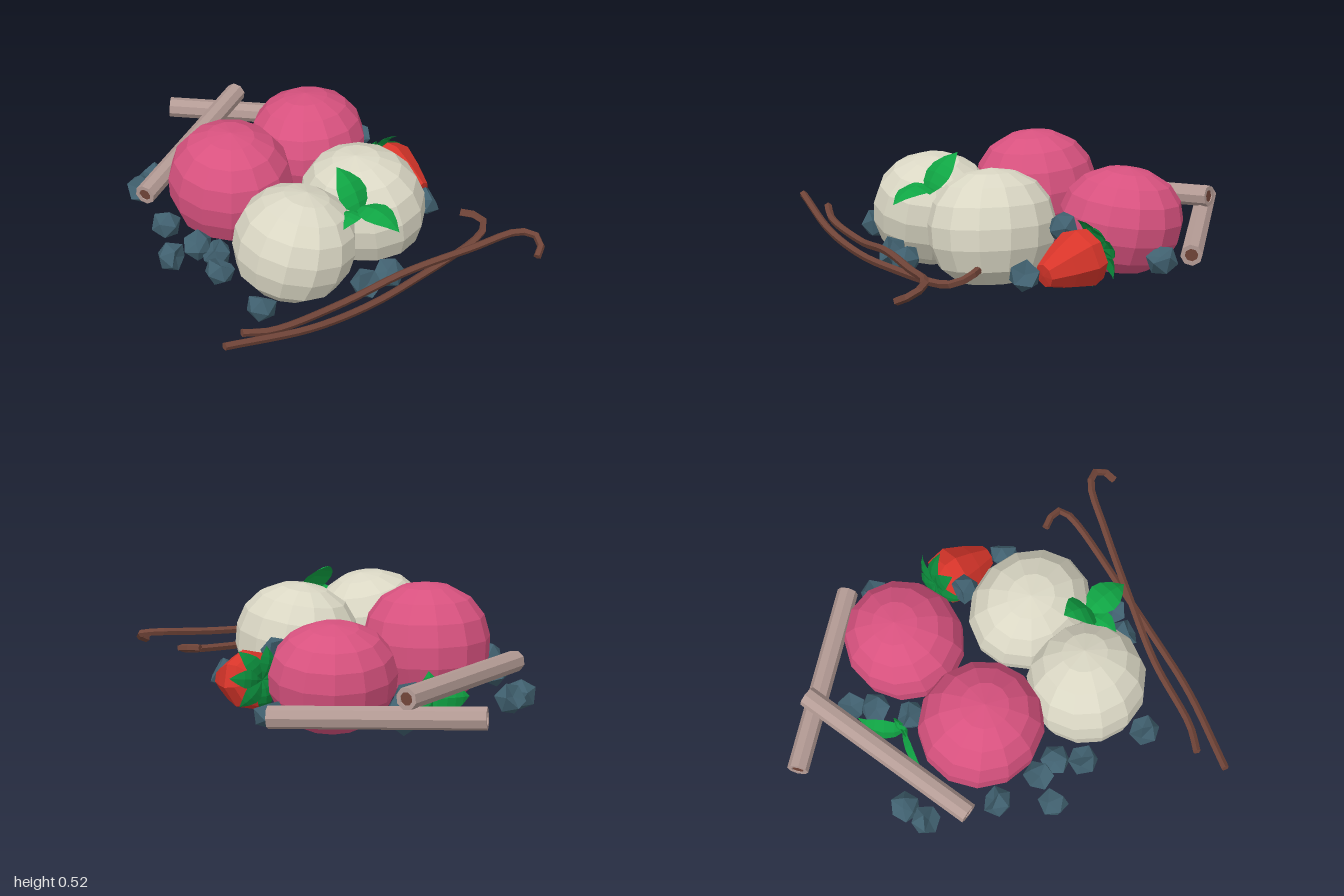
import * as THREE from 'three';

const V = (x, y, z) => new THREE.Vector3(x, y, z);
const UP = V(0, 1, 0);

function mat(name, color, side = THREE.FrontSide) {
  const m = new THREE.MeshStandardMaterial({ color, side, flatShading: true });
  m.name = name;
  return m;
}

const cream = mat('cream', 0xdad7c4);
const pink = mat('pink', 0xd8527f);
const blue = mat('berry blue', 0x40606f);
const red = mat('strawberry red', 0xd8352a);
const mint = mat('mint green', 0x10a544, THREE.DoubleSide);
const capGreen = mat('cap green', 0x0a8438, THREE.DoubleSide);
const bark = mat('bark', 0xb49b95);
const brown = mat('dark brown', 0x704438, THREE.DoubleSide);

function add(parent, name, geometry, material) {
  const m = new THREE.Mesh(geometry, material);
  m.name = name;
  parent.add(m);
  return m;
}

// Leaf swept along a curve from base to tip, folded a little on its midrib
function leafGeometry(base, mid, tip, width) {
  const curve = new THREE.QuadraticBezierCurve3(base, mid, tip);
  const bulge = mid.clone().sub(base.clone().lerp(tip, 0.5)).normalize();
  const side = tip.clone().sub(base).cross(bulge).normalize();
  const g = new THREE.PlaneGeometry(2, 1, 2, 5);
  const p = g.attributes.position;
  for (let i = 0; i < p.count; i++) {
    const t = p.getY(i) + 0.5, s = p.getX(i);
    const w = width * Math.sin(Math.PI * Math.pow(0.04 + 0.96 * t, 0.85));
    const q = curve.getPoint(t).addScaledVector(side, s * w)
      .addScaledVector(bulge, -Math.abs(s) * w * 0.25);
    p.setXYZ(i, q.x, q.y, q.z);
  }
  g.computeVertexNormals();
  return g;
}

// Rounded scoop with a broad, flattened underside
function scoop(root, name, material, center, size, tilt) {
  const profile = [[0, -0.94], [0.55, -0.92], [0.84, -0.66], [0.98, -0.28], [1, 0.08],
    [0.91, 0.44], [0.7, 0.74], [0.38, 0.93], [0, 1]].map(([r, y]) => new THREE.Vector2(r, y));
  const g = new THREE.LatheGeometry(profile, 13);
  g.rotateX(tilt[0]).rotateY(tilt[1]).rotateZ(tilt[2]);
  const m = add(root, name, g, material);
  m.position.set(...center);
  m.scale.set(...size);
}

// Faceted berry with one dimpled corner
function berryGeometry() {
  const g = new THREE.IcosahedronGeometry(0.068, 0);
  const p = g.attributes.position;
  const crown = V().fromBufferAttribute(p, 0);
  const v = V();
  for (let i = 0; i < p.count; i++) {
    v.fromBufferAttribute(p, i);
    if (v.distanceTo(crown) < 1e-4) p.setXYZ(i, v.x * 0.25, v.y * 0.25, v.z * 0.25);
  }
  g.applyQuaternion(new THREE.Quaternion().setFromUnitVectors(crown.clone().normalize(), UP));
  g.computeVertexNormals();
  return g;
}

// Hollow octagonal stick between two points
function stick(root, a, b) {
  const group = new THREE.Group();
  group.name = 'barkStick';
  const h = a.distanceTo(b) / 2, R = 0.046, r = 0.028;
  const shell = [[r, -h + 0.04], [r, -h], [R, -h], [R, h], [r, h], [r, h - 0.04]];
  add(group, 'stickShell', new THREE.LatheGeometry(shell.map(q => new THREE.Vector2(...q)), 8), bark);
  add(group, 'stickCore', new THREE.CylinderGeometry(r, r, 2 * h - 0.01, 8), brown);
  group.position.copy(a).lerp(b, 0.5);
  group.quaternion.setFromUnitVectors(UP, b.clone().sub(a).normalize());
  root.add(group);
}

function strawberry(root) {
  const group = new THREE.Group();
  group.name = 'strawberry';
  const profile = [[0, 0], [0.05, 0.005], [0.095, 0.1], [0.128, 0.19], [0.115, 0.245], [0.06, 0.275], [0, 0.28]];
  add(group, 'strawberryBody', new THREE.LatheGeometry(profile.map(q => new THREE.Vector2(...q)), 8), red);
  for (let i = 0; i < 7; i++) {
    const a = i / 7 * Math.PI * 2 + 0.3, c = Math.cos(a), s = Math.sin(a);
    const tipY = i % 2 ? 0.235 : 0.26;
    add(group, 'strawberryLeaf', leafGeometry(
      V(0, 0.285, 0), V(c * 0.09, 0.335, s * 0.09), V(c * 0.145, tipY, s * 0.145), 0.04), capGreen);
  }
  const tip = V(0.575, 0.12, 0.31);
  group.position.copy(tip);
  group.quaternion.setFromUnitVectors(UP, V(0.6, 0.178, 0.03).sub(tip).normalize());
  root.add(group);
}

// Thin curled pod along a path, closed with end caps
function pod(root, points) {
  const path = new THREE.CatmullRomCurve3(points.map(q => V(...q)), false, 'centripetal');
  const group = new THREE.Group();
  group.name = 'driedPod';
  add(group, 'podBody', new THREE.TubeGeometry(path, 28, 0.017, 5), brown);
  for (const t of [0, 1]) {
    const end = add(group, 'podEnd', new THREE.CircleGeometry(0.017, 5), brown);
    end.position.copy(path.getPoint(t));
    end.quaternion.setFromUnitVectors(V(0, 0, 1), path.getTangent(t));
  }
  root.add(group);
}

export function createModel() {
  const root = new THREE.Group();
  root.name = 'dessertFruitPlatter';

  scoop(root, 'creamScoopLeft', cream, [-0.197, 0.245, 0.21], [0.255, 0.235, 0.262], [0.1, 0.4, -0.16]);
  scoop(root, 'creamScoopRight', cream, [0.215, 0.245, 0.25], [0.252, 0.24, 0.282], [-0.08, 0.2, 0.1]);
  scoop(root, 'pinkScoopLeft', pink, [-0.055, 0.28, -0.265], [0.266, 0.25, 0.275], [0.06, 0.1, 0.05]);
  scoop(root, 'pinkScoopRight', pink, [0.47, 0.235, -0.255], [0.268, 0.22, 0.257], [-0.12, 0.5, -0.12]);

  // Scattered berries
  const berry = berryGeometry();
  [[-0.18, 0.11, -0.69], [-0.08, 0.12, -0.72], [-0.32, 0.12, -0.41], [-0.48, 0.12, -0.23],
    [-0.35, 0.12, -0.2], [-0.345, 0.12, -0.1], [-0.425, 0.12, -0.01], [-0.5, 0.12, 0.28],
    [-0.11, 0.12, 0.52], [0.01, 0.12, 0.55], [0.47, 0.26, 0.09], [0.53, 0.125, 0.37],
    [0.76, 0.125, -0.19], [0.35, 0.12, -0.53], [0.42, 0.12, -0.61], [0.22, 0.13, -0.44],
  ].forEach((q, i) => {
    const m = add(root, 'berry', berry, blue);
    m.position.set(...q);
    m.rotation.set(0.8 * Math.sin(i * 2.3 + 1), i * 1.7, 0.8 * Math.cos(i * 3.1));
  });

  strawberry(root);

  // Mint sprig on top of the cream scoops, and one resting behind the pink scoops
  [[V(-0.01, 0.37, 0.41), V(0.0, 0.5, 0.38), V(0.015, 0.525, 0.26), 0.08],
    [V(0, 0.39, 0.39), V(0, 0.455, 0.5), V(0, 0.355, 0.6), 0.072],
    [V(-0.02, 0.38, 0.39), V(-0.08, 0.43, 0.4), V(-0.15, 0.365, 0.42), 0.05],
    [V(0.18, 0.14, -0.5), V(0.22, 0.16, -0.63), V(0.36, 0.13, -0.62), 0.07],
    [V(0.19, 0.13, -0.51), V(0.1, 0.13, -0.59), V(-0.01, 0.11, -0.56), 0.065],
    [V(0.19, 0.12, -0.49), V(0.2, 0.19, -0.56), V(0.19, 0.25, -0.52), 0.05],
  ].forEach(q => add(root, 'mintLeaf', leafGeometry(...q), mint));

  stick(root, V(-0.3, 0.2, -0.55), V(0.54, 0.257, -0.74));
  stick(root, V(0.33, 0.185, -0.97), V(0.84, 0.145, -0.28));

  pod(root, [[-0.87, 0.205, 0.4], [-0.5, 0.135, 0.54], [-0.2, 0.105, 0.61], [0.05, 0.11, 0.655],
    [0.44, 0.14, 0.71], [0.505, 0.16, 0.695], [0.515, 0.175, 0.65], [0.485, 0.18, 0.58]]);
  pod(root, [[-0.73, 0.17, 0.37], [-0.62, 0.145, 0.435], [-0.3, 0.125, 0.525], [0, 0.17, 0.64],
    [0.3, 0.185, 0.77], [0.5, 0.2, 0.865], [0.54, 0.19, 0.925], [0.52, 0.165, 0.97], [0.47, 0.14, 0.985]]);

  return root;
}
